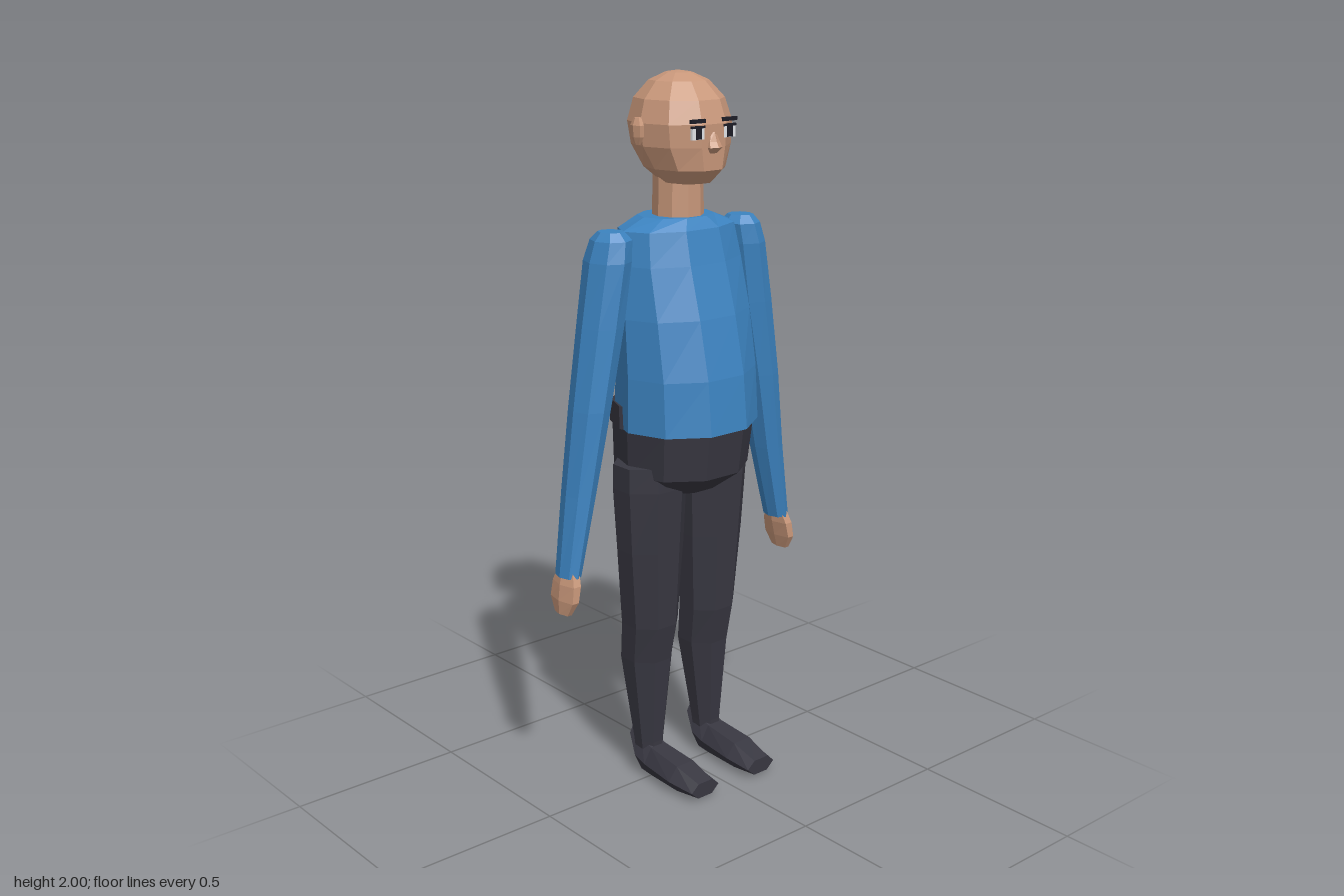
import * as THREE from 'three';

const flat = (name, color) => {
  const m = new THREE.MeshStandardMaterial({ color, flatShading: true });
  m.name = name;
  return m;
};

// Regular polygon outline, scaled to fit the given extents
function outline(n, phase, u0, u1, v0, v1) {
  const pts = [];
  for (let i = 0; i < n; i++) {
    const a = phase + (i / n) * Math.PI * 2;
    pts.push([Math.cos(a), Math.sin(a)]);
  }
  const mu = Math.max(...pts.map(p => Math.abs(p[0])));
  const mv = Math.max(...pts.map(p => Math.abs(p[1])));
  return pts.map(([u, v]) => [
    (u0 + u1) / 2 + (u / mu) * (u1 - u0) / 2,
    (v0 + v1) / 2 + (v / mv) * (v1 - v0) / 2,
  ]);
}

// Skin over cross-sections, with closed ends
function loft(rings) {
  const n = rings[0].length, pos = [];
  const tri = (a, b, c) => pos.push(...a, ...b, ...c);
  for (let r = 0; r < rings.length - 1; r++) {
    for (let i = 0; i < n; i++) {
      const j = (i + 1) % n, A = rings[r], B = rings[r + 1];
      tri(A[i], A[j], B[j]);
      tri(A[i], B[j], B[i]);
    }
  }
  const first = rings[0], last = rings[rings.length - 1];
  for (let i = 1; i < n - 1; i++) {
    tri(first[0], first[i + 1], first[i]);
    tri(last[0], last[i], last[i + 1]);
  }
  const g = new THREE.BufferGeometry();
  g.setAttribute('position', new THREE.Float32BufferAttribute(pos, 3));
  g.computeVertexNormals();
  return g;
}

// Sections from bottom to top: [y, x centre, x radius, z back, z front]
const column = (sections, n, side = 1, phase = 0) => loft(sections.map(([y, cx, rx, z0, z1]) =>
  outline(n, phase, cx * side - rx, cx * side + rx, -z1, -z0).map(([x, v]) => [x, y, -v])));

// Sections from back to front: [z, x centre, x radius, y bottom, y top]
const lengthwise = (sections, n, side = 1) => loft(sections.map(([z, cx, rx, y0, y1]) =>
  outline(n, 0, cx * side - rx, cx * side + rx, y0, y1).map(([x, y]) => [x, y, z])));

export function createModel() {
  const skin = flat('skin', 0xc8977a);
  const shirt = flat('blue shirt', 0x3c83c0);
  const trousers = flat('dark trousers', 0x383741);
  const dark = flat('dark features', 0x1c1c26);
  const white = flat('eye white', 0xe6e8ec);

  const model = new THREE.Group();
  model.name = 'standingFigure';
  const add = (name, geometry, material, parent = model) => {
    const mesh = new THREE.Mesh(geometry, material);
    mesh.name = name;
    parent.add(mesh);
    return mesh;
  };

  // Torso and pelvis
  add('torso', column([
    [1.05, 0, 0.207, -0.182, 0.177],
    [1.2, 0, 0.205, -0.168, 0.163],
    [1.36, 0, 0.203, -0.156, 0.128],
    [1.5, 0, 0.198, -0.158, 0.088],
    [1.59, 0, 0.185, -0.15, 0.065],
    [1.62, 0, 0.11, -0.135, 0.042],
  ], 10), shirt);
  add('pelvis', column([
    [0.86, 0, 0.11, -0.13, 0.07],
    [0.92, 0, 0.19, -0.2, 0.15],
    [1.05, 0, 0.2, -0.197, 0.166],
  ], 10), trousers);
  add('waistbandBack', column([
    [1.05, 0, 0.199, -0.197, 0.1],
    [1.112, 0, 0.195, -0.192, 0.08],
  ], 10), trousers);

  // Neck and head
  add('neck', column([
    [1.6, 0, 0.07, -0.105, 0.032],
    [1.78, 0, 0.066, -0.1, 0.03],
  ], 10), skin);
  const head = new THREE.Group();
  head.name = 'head';
  model.add(head);
  add('skull', column([
    [1.712, 0, 0.065, -0.07, 0.07],
    [1.75, 0, 0.102, -0.125, 0.106],
    [1.81, 0, 0.13, -0.155, 0.108],
    [1.87, 0, 0.136, -0.167, 0.11],
    [1.93, 0, 0.118, -0.152, 0.09],
    [1.975, 0, 0.078, -0.112, 0.047],
    [1.995, 0, 0.035, -0.07, 0.002],
    [2.0, 0, 0.002, -0.037, -0.033],
  ], 10), skin);
  add('nose', column([
    [1.795, 0, 0.013, 0.09, 0.113],
    [1.81, 0, 0.021, 0.09, 0.128],
    [1.825, 0, 0.017, 0.09, 0.12],
    [1.85, 0, 0.008, 0.09, 0.112],
  ], 6, 1, Math.PI / 6), skin, head);

  for (const side of [1, -1]) {
    const label = side > 0 ? 'left' : 'right';

    // Face details
    add(label + 'Ear', column([
      [1.815, 0.138, 0.007, -0.043, -0.027],
      [1.835, 0.139, 0.013, -0.053, -0.017],
      [1.865, 0.14, 0.014, -0.055, -0.015],
      [1.885, 0.138, 0.008, -0.045, -0.025],
    ], 6, side), skin, head);
    const plate = (name, x, y, z, w, h, material) => {
      const m = add(label + name, new THREE.BoxGeometry(w, h, 0.008), material, head);
      m.position.set(x * side, y, z);
    };
    plate('EyeWhite', 0.054, 1.848, 0.106, 0.04, 0.03, white);
    plate('Pupil', 0.054, 1.848, 0.108, 0.019, 0.028, dark);
    plate('Eyelid', 0.054, 1.865, 0.108, 0.044, 0.006, dark);
    plate('Eyebrow', 0.054, 1.88, 0.107, 0.05, 0.01, dark);

    // Sleeve and hand
    add(label + 'Sleeve', column([
      [0.675, 0.388, 0.03, -0.085, 0.002],
      [0.9, 0.346, 0.043, -0.098, 0.01],
      [1.13, 0.307, 0.054, -0.103, 0.022],
      [1.35, 0.267, 0.061, -0.108, 0.028],
      [1.52, 0.239, 0.059, -0.114, 0.031],
      [1.575, 0.228, 0.053, -0.1, 0.022],
      [1.597, 0.229, 0.034, -0.075, 0.0],
    ], 8, side), shirt);
    add(label + 'Hand', column([
      [0.57, 0.408, 0.014, -0.07, -0.012],
      [0.61, 0.403, 0.021, -0.09, 0.01],
      [0.655, 0.395, 0.024, -0.087, 0.008],
      [0.7, 0.386, 0.022, -0.07, -0.01],
    ], 6, side), skin);

    // Leg and foot
    add(label + 'Leg', column([
      [0.06, 0.11, 0.036, -0.08, 0.0],
      [0.1, 0.11, 0.04, -0.082, 0.0],
      [0.36, 0.107, 0.07, -0.125, 0.02],
      [0.47, 0.107, 0.077, -0.112, 0.04],
      [0.7, 0.11, 0.093, -0.108, 0.052],
      [0.88, 0.112, 0.102, -0.115, 0.063],
      [0.95, 0.114, 0.1, -0.11, 0.06],
    ], 8, side, Math.PI / 8), trousers);
    add(label + 'Foot', lengthwise([
      [-0.092, 0.11, 0.03, 0.075, 0.13],
      [-0.045, 0.11, 0.05, 0.003, 0.108],
      [0.0, 0.11, 0.052, 0.0, 0.088],
      [0.12, 0.11, 0.06, 0.0, 0.076],
      [0.205, 0.107, 0.05, 0.008, 0.052],
    ], 6, side), trousers);
  }
  return model;
}
